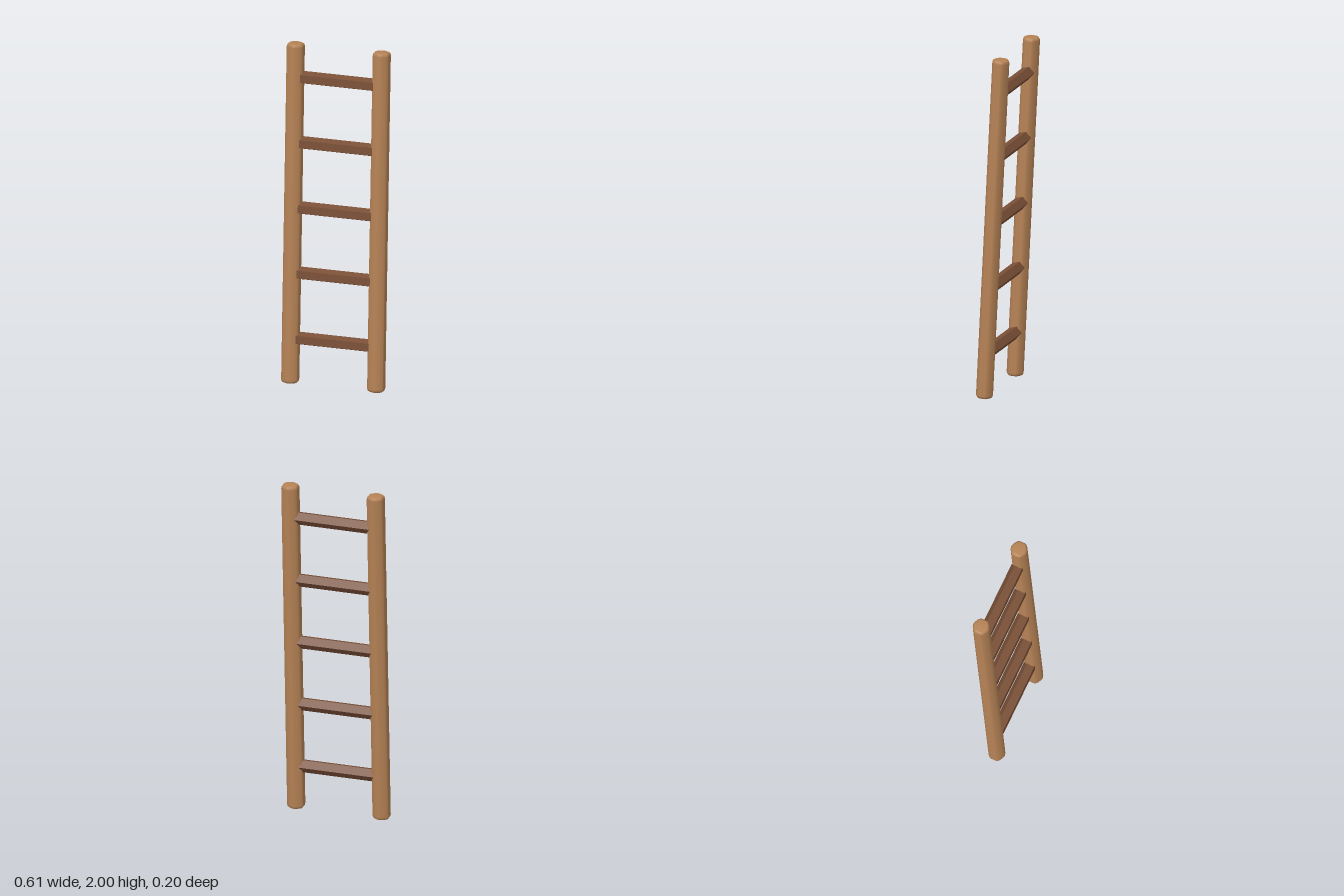
import * as THREE from 'three';
import { mergeVertices } from 'three/addons/utils/BufferGeometryUtils.js';

const LENGTH = 1.998, LEAN = 0.05, RAIL_X = 0.257;

// Softened hexagon outline: one quarter, mirrored around, starting at +z towards +x
function railOutline() {
  const quarter = [[0, 0.05], [0.015, 0.046], [0.033, 0.036], [0.046, 0.025], [0.048, 0.015]];
  const half = [...quarter, ...quarter.map(([x, z]) => [x, -z]).reverse()];
  const other = half.slice(1, -1).map(([x, z]) => [-x, z]).reverse();
  return [...half, ...other];
}

// Long pole with rounded ends, following the outline
function railGeometry() {
  const outline = railOutline();
  const end = [[0, 0], [0.7, 0], [0.85, 0.003], [0.95, 0.009], [1, 0.02]];
  const profile = [
    ...end.map(([s, y]) => new THREE.Vector2(s, y - LENGTH / 2)),
    ...end.map(([s, y]) => new THREE.Vector2(s, LENGTH / 2 - y)).reverse(),
  ];
  const geo = new THREE.LatheGeometry(profile, outline.length);
  const pos = geo.attributes.position;
  for (let i = 0; i < pos.count; i++) {
    const [x, z] = outline[Math.floor(i / profile.length) % outline.length];
    const s = profile[i % profile.length].x;
    pos.setX(i, x * s);
    pos.setZ(i, z * s);
  }
  geo.deleteAttribute('uv');
  geo.deleteAttribute('normal');
  const smooth = mergeVertices(geo, 1e-5);
  smooth.computeVertexNormals();
  return smooth;
}

// Five-sided bar with a flat front and a ridge at the back
function rungGeometry() {
  const geo = new THREE.CylinderGeometry(0.039, 0.039, 0.444, 5, 1, false, Math.PI)
    .rotateZ(Math.PI / 2)
    .toNonIndexed();
  geo.computeVertexNormals();
  return geo;
}

export function createModel() {
  const railWood = new THREE.MeshStandardMaterial({ color: 0xb58255 });
  railWood.name = 'light wood';
  const rungWood = new THREE.MeshStandardMaterial({ color: 0x7a5037 });
  rungWood.name = 'dark wood';

  const model = new THREE.Group();
  model.name = 'ladder';

  // Leaning frame that holds all the parts
  const frame = new THREE.Group();
  frame.name = 'frame';
  frame.position.y = 1;
  frame.rotation.x = -LEAN;
  model.add(frame);

  // Side rails
  const railGeo = railGeometry();
  for (const side of [-1, 1]) {
    const rail = new THREE.Mesh(railGeo, railWood);
    rail.name = side > 0 ? 'leftRail' : 'rightRail';
    rail.position.x = side * RAIL_X;
    frame.add(rail);
  }

  // Rungs
  const rungGeo = rungGeometry();
  for (let i = 0; i < 5; i++) {
    const rung = new THREE.Mesh(rungGeo, rungWood);
    rung.name = `rung${i + 1}`;
    rung.position.y = 0.03 + (i - 2) * 0.384;
    frame.add(rung);
  }
  return model;
}
